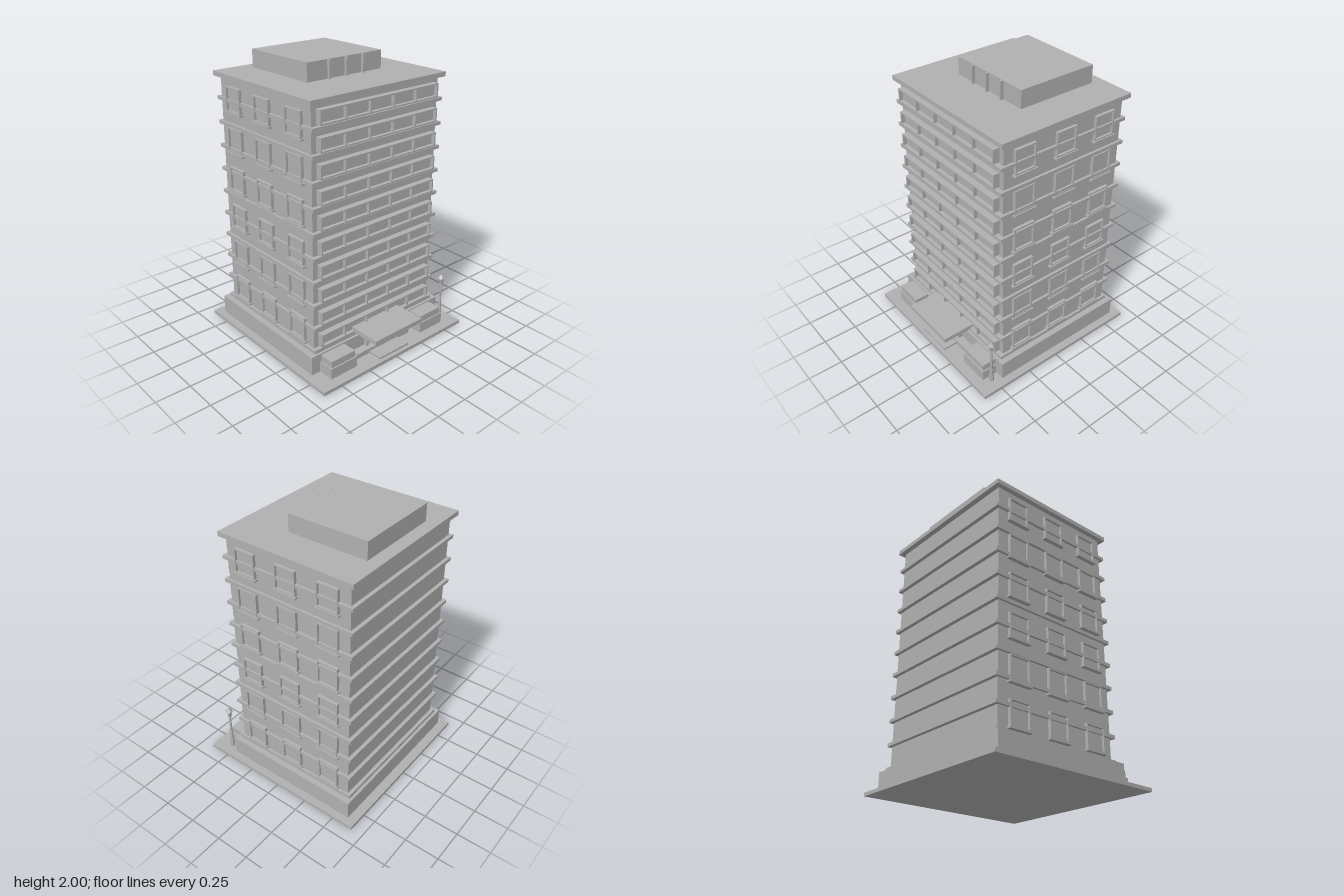
import * as THREE from 'three';

export function createModel() {
  const model = new THREE.Group();
  model.name = 'apartmentTower';
  const concrete = new THREE.MeshStandardMaterial({ color: 0xb0b0b0 });
  concrete.name = 'concreteGrey';

  // Box given by its extents on each axis
  function block(name, x0, x1, y0, y1, z0, z1, parent = model) {
    const mesh = new THREE.Mesh(new THREE.BoxGeometry(x1 - x0, y1 - y0, z1 - z0), concrete);
    mesh.position.set((x0 + x1) / 2, (y0 + y1) / 2, (z0 + z1) / 2);
    mesh.name = name;
    parent.add(mesh);
    return mesh;
  }

  // Rectangular ring in the xy plane, extruded along z from 0
  function frameMesh(name, w, h, t, depth) {
    const rect = (P, a, b) => new P([[-a, -b], [a, -b], [a, b], [-a, b]].map(p => new THREE.Vector2(...p)));
    const shape = rect(THREE.Shape, w / 2, h / 2);
    shape.holes.push(rect(THREE.Path, w / 2 - t, h / 2 - t));
    const mesh = new THREE.Mesh(new THREE.ExtrudeGeometry(shape, { depth, bevelEnabled: false }), concrete);
    mesh.name = name;
    return mesh;
  }

  // Main masses
  block('groundSlab', -0.655, 0.655, 0, 0.025, -0.663, 0.648);
  block('podium', -0.6, 0.6, 0.025, 0.16, -0.596, 0.455);
  block('towerBody', -0.54, 0.54, 0.16, 1.845, -0.548, 0.405);
  block('roofSlab', -0.575, 0.575, 1.843, 1.875, -0.585, 0.443);
  block('penthouse', -0.317, 0.317, 1.875, 2, -0.495, 0.092);
  for (const x of [-0.146, -0.002, 0.142]) block('penthouseFin', x - 0.006, x + 0.006, 1.875, 2, 0.09, 0.114);

  // Ledge around every floor
  for (let i = 0; i < 10; i++) {
    const y = 0.172 + i * 0.169;
    block('floorLedge', -0.558, 0.558, y - 0.012, y + 0.012, -0.574, 0.436);
  }

  // Front ribbon windows, five panes each
  for (let i = 0; i < 10; i++) {
    const row = new THREE.Group();
    row.name = 'ribbonWindow';
    row.position.set(0, 0.241 + i * 0.169, 0.405);
    row.add(frameMesh('ribbonFrame', 1.006, 0.095, 0.01, 0.044));
    block('ribbonGlass', -0.495, 0.495, -0.04, 0.04, 0, 0.018, row);
    for (const x of [-0.3, -0.1, 0.1, 0.3]) block('mullion', x - 0.004, x + 0.004, -0.04, 0.04, 0, 0.042, row);
    model.add(row);
  }

  // Windows on both sides
  for (const side of [-1, 1]) {
    for (let r = 0; r < 6; r++) {
      for (const z of [0.251, -0.071, -0.389]) {
        const win = new THREE.Group();
        win.name = 'sideWindow';
        win.add(frameMesh('sideFrame', 0.158, 0.17, 0.009, 0.022));
        block('sideGlass', -0.072, 0.072, -0.077, 0.077, 0, 0.006, win);
        block('sideSill', -0.089, 0.089, -0.098, -0.085, 0, 0.03, win);
        win.position.set(side * 0.54, 0.295 + r * 0.282, z);
        win.rotation.y = side * Math.PI / 2;
        model.add(win);
      }
    }
  }

  // Entrance with canopy, doors and steps
  block('canopy', -0.22, 0.217, 0.193, 0.226, 0.4, 0.662);
  block('upperStep', -0.253, 0.247, 0.025, 0.06, 0.45, 0.515);
  block('lowerStep', -0.138, 0.135, 0.025, 0.039, 0.5, 0.62);
  block('doorHeader', -0.14, 0.138, 0.183, 0.194, 0.4, 0.495);
  for (const x of [-0.127, 0.122]) block('doorJamb', x - 0.008, x + 0.008, 0.06, 0.19, 0.45, 0.485);
  for (const x of [-0.066, 0.062]) block('doorLeaf', x - 0.054, x + 0.054, 0.06, 0.183, 0.45, 0.466);
  block('doorPost', -0.013, 0.013, 0.06, 0.185, 0.45, 0.476);

  // Planters with hedges beside the entrance
  for (const side of [-1, 1]) {
    const x = side * 0.419;
    block('planter', x - 0.111, x + 0.111, 0.025, 0.102, 0.45, 0.572);
    block('hedge', x - 0.101, x + 0.101, 0.1, 0.15, 0.45, 0.562);
  }

  // Six-sided street lamp
  const lamp = new THREE.Group();
  lamp.name = 'streetLamp';
  lamp.position.set(0.565, 0, 0.525);
  const parts = [ // name, top radius, bottom radius, bottom y, top y
    ['lampBase', 0.013, 0.018, 0.025, 0.13],
    ['lampPole', 0.007, 0.011, 0.13, 0.315],
    ['lampCollar', 0.013, 0.013, 0.31, 0.322],
    ['lantern', 0.022, 0.012, 0.322, 0.363],
    ['lampCap', 0.006, 0.028, 0.363, 0.39],
    ['lampFinial', 0.002, 0.006, 0.39, 0.402],
  ];
  for (const [name, rt, rb, y0, y1] of parts) {
    const geometry = new THREE.CylinderGeometry(rt, rb, y1 - y0, 6).toNonIndexed();
    geometry.computeVertexNormals();
    const mesh = new THREE.Mesh(geometry, concrete);
    mesh.name = name;
    mesh.position.y = (y0 + y1) / 2;
    mesh.rotation.y = Math.PI / 6;
    lamp.add(mesh);
  }
  model.add(lamp);
  return model;
}
